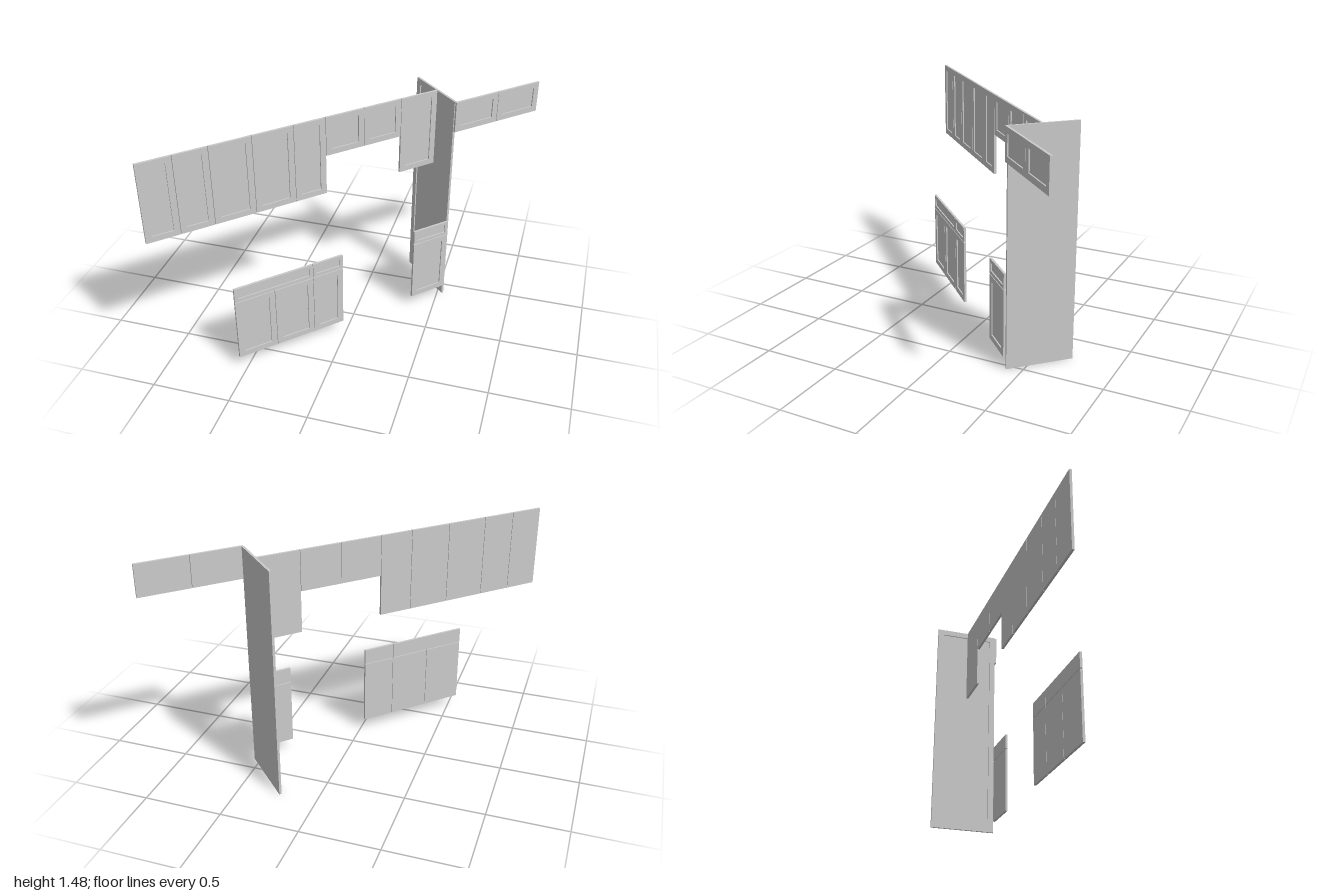
import * as THREE from 'three';

const material = new THREE.MeshStandardMaterial({ color: 0xcccccc, flatShading: true });
const THICK = 0.015, RECESS = 0.008, GAP = 0.003;
const NARROW = 0.212, WIDE = 0.265, TOP = 1.48;

function rect(target, w, h) {
  target.moveTo(-w / 2, -h / 2);
  target.lineTo(w / 2, -h / 2);
  target.lineTo(w / 2, h / 2);
  target.lineTo(-w / 2, h / 2);
  target.closePath();
  return target;
}

// Framed front with a recessed centre panel, facing local +z
function framedFront(name, w, h, margin) {
  const group = new THREE.Group();
  group.name = name;
  const shape = rect(new THREE.Shape(), w, h);
  shape.holes.push(rect(new THREE.Path(), w - 2 * margin, h - 2 * margin));
  const frameGeo = new THREE.ExtrudeGeometry(shape, { depth: THICK, bevelEnabled: false });
  frameGeo.translate(0, 0, -THICK / 2);
  const frame = new THREE.Mesh(frameGeo, material);
  frame.name = 'frame';
  const depth = THICK - RECESS;
  const panel = new THREE.Mesh(new THREE.BoxGeometry(w - 2 * margin, h - 2 * margin, depth), material);
  panel.name = 'recessedPanel';
  panel.position.z = -RECESS / 2;
  group.add(frame, panel);
  return group;
}

export function createModel() {
  const model = new THREE.Group();
  model.name = 'kitchenCabinetFronts';

  // Whole layout runs diagonally, so it is built straight and turned
  const layout = new THREE.Group();
  layout.name = 'layout';
  layout.rotation.y = Math.PI / 4;
  model.add(layout);

  // Row of fronts side by side: each entry is [width, bottom, top]
  function addRow(name, start, z, margin, entries) {
    let x = start;
    for (const [w, bottom, top] of entries) {
      const front = framedFront(name, w - GAP, top - bottom, margin);
      front.position.set(x + w / 2, (bottom + top) / 2, z);
      layout.add(front);
      x += w;
    }
  }

  const backZ = -0.105, frontZ = 0.1025, sideX = 0.66;

  // Upper wall doors, with two short ones in the gap
  const tall = w => [w, 0.96, TOP], short = w => [w, 1.223, TOP];
  addRow('upperDoor', -1.302, backZ, 0.038, [
    tall(NARROW), tall(NARROW), tall(WIDE), tall(WIDE), tall(NARROW),
    short(WIDE), short(WIDE), tall(WIDE),
  ]);

  // Short doors beyond the tall side panel
  addRow('topDoor', sideX, frontZ, 0.038, [[0.322, 1.277, TOP], [0.322, 1.277, TOP]]);

  // Base doors and drawers
  const door = w => [w, 0.077, 0.506], drawer = w => [w, 0.511, 0.61];
  const baseX = -0.88, endX = sideX - WIDE;
  addRow('baseDoor', baseX, frontZ, 0.038, [door(WIDE), door(WIDE), door(NARROW)]);
  addRow('drawer', baseX, frontZ, 0.023, [drawer(2 * WIDE), drawer(NARROW)]);
  addRow('baseDoor', endX, frontZ, 0.038, [door(WIDE)]);
  addRow('drawer', endX, frontZ, 0.023, [drawer(WIDE)]);

  // Tall side panel at right angles to the fronts
  const side = framedFront('sidePanel', 0.427, TOP, 0.038);
  side.rotation.y = -Math.PI / 2;
  side.position.set(sideX + 0.004, TOP / 2, -0.118);
  layout.add(side);

  return model;
}
